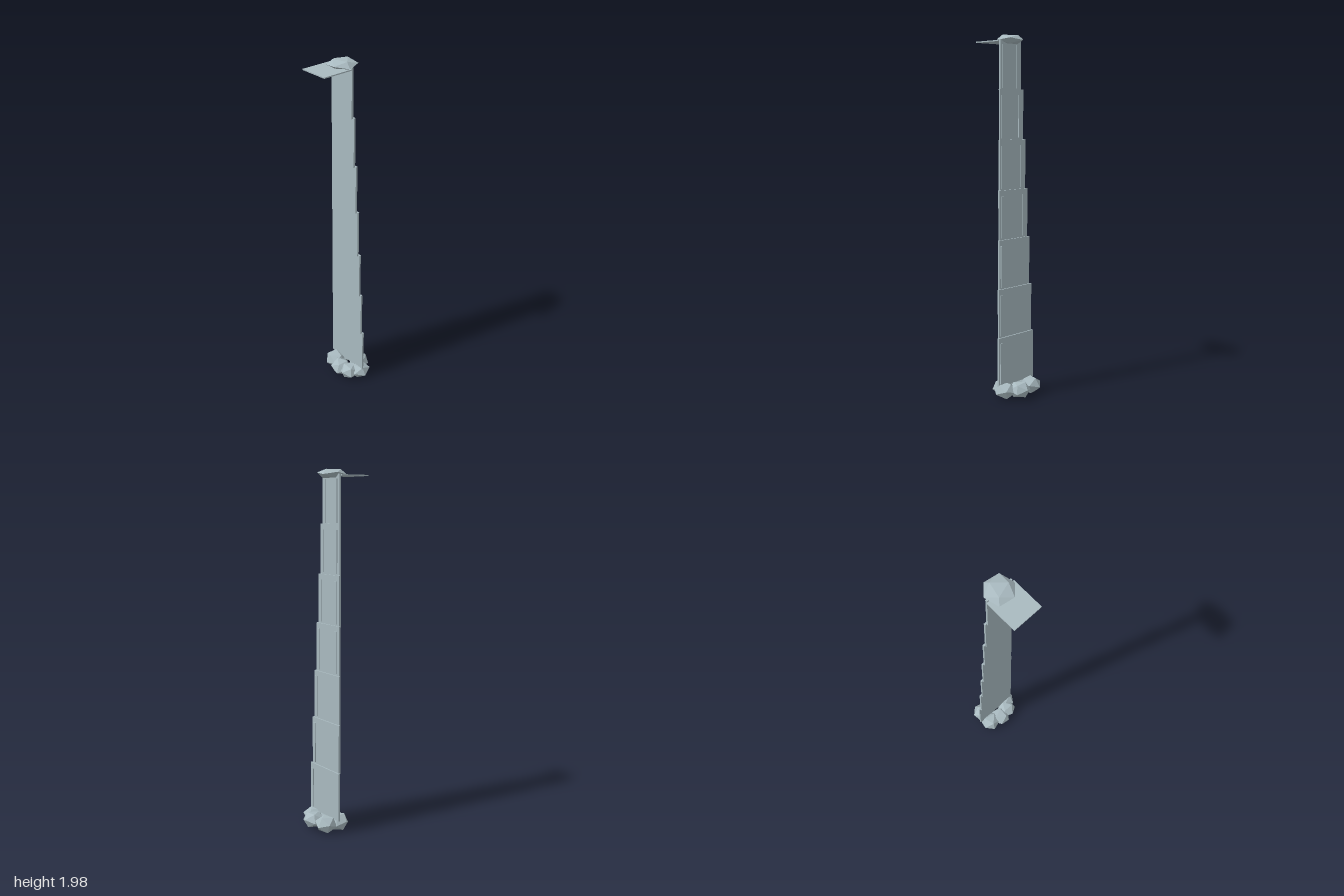
import * as THREE from 'three';

export function createModel() {
  const model = new THREE.Group();
  const paleWater = new THREE.MeshStandardMaterial({ color: 0xa9bac0 });
  paleWater.flatShading = true;

  function box(name, w, h, d, x, y, z) {
    const mesh = new THREE.Mesh(new THREE.BoxGeometry(w, h, d), paleWater);
    mesh.name = name;
    mesh.position.set(x, y, z);
    model.add(mesh);
  }

  // Faceted lump: icosahedron with a corner near the top, turned then flattened
  function lump(name, x, y, z, r, halfHeight, turn, tilt = 0.1) {
    const geo = new THREE.IcosahedronGeometry(r, 0);
    geo.rotateX(0.55 - tilt).rotateY(turn);
    geo.scale(1, halfHeight / r, 1);
    const mesh = new THREE.Mesh(geo, paleWater);
    mesh.name = name;
    mesh.position.set(x, y, z);
    model.add(mesh);
  }

  // Seven stacked fall panels, narrowing and stepping forward towards the top
  for (let i = 0; i < 7; i++) {
    const width = 0.267 - 0.019 * i;
    const bottom = 0.085 + 0.27 * i;
    const top = Math.min(0.36 + 0.27 * i, 1.97);
    const z = -0.054 + 0.0075 * i;
    const midY = (bottom + top) / 2;
    box('fallPanel', width, top - bottom, 0.011, -0.0085, midY, z);
    // Raised streaks along the back edges
    const streakX = width / 2 - 0.02;
    box('leftStreak', 0.02, 0.23, 0.008, -0.0085 + streakX, midY - 0.008, z - 0.006);
    if (i > 2) box('rightStreak', 0.02, 0.23, 0.008, -0.0085 - streakX + 0.008, midY - 0.008, z - 0.006);
  }

  // Thin ledge reaching forward at the top
  box('topLedge', 0.164, 0.006, 0.176, -0.0085, 1.963, 0.087);
  lump('topLump', -0.008, 1.972, -0.008, 0.08, 0.028, 0.3, 0.2);

  // Ring of lumps at the foot
  const foot = [
    [0.083, 0.058, -0.065, 0.065, 0.047, 0.4],
    [0.02, 0.06, -0.115, 0.064, 0.046, 1.1],
    [-0.08, 0.062, -0.1, 0.064, 0.05, 0.2],
    [-0.084, 0.06, -0.022, 0.064, 0.052, 0.8],
    [-0.012, 0.055, 0.0, 0.062, 0.05, 1.5],
    [0.052, 0.058, -0.012, 0.06, 0.048, 2.1],
  ];
  for (const f of foot) lump('footLump', ...f);

  return model;
}
